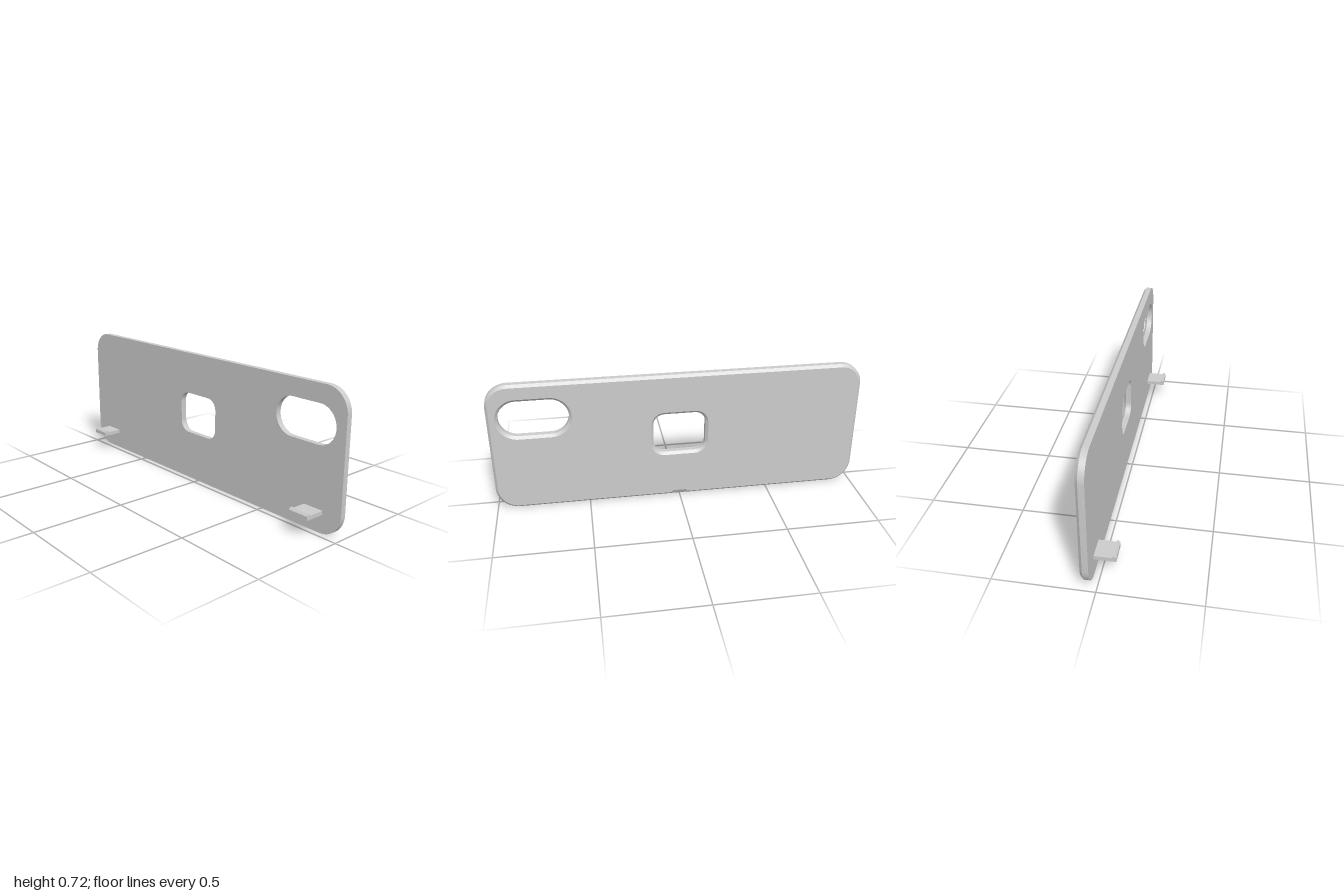
import * as THREE from 'three';
import { toCreasedNormals, mergeGeometries } from 'three/addons/utils/BufferGeometryUtils.js';

const FRONT = -0.031, MID = -0.061, BACK = -0.075, CHAMFER = 0.014;

// Counter-clockwise rounded rectangle, grown outwards by g; extra points follow the first corner
function roundedRect([x0, x1, y0, y1, r], g = 0, extra = []) {
  const pts = [], n = 14, R = r + g;
  const corners = [[x0 + r, y0 + r], [x1 - r, y0 + r], [x1 - r, y1 - r], [x0 + r, y1 - r]];
  corners.forEach(([cx, cy], k) => {
    for (let i = 0; i <= n; i++) {
      const a = Math.PI + (k + i / n) * Math.PI / 2;
      pts.push(new THREE.Vector2(cx + R * Math.cos(a), cy + R * Math.sin(a)));
    }
    if (k === 0) extra.forEach(([x, y]) => pts.push(new THREE.Vector2(x, y)));
  });
  return pts;
}

// Wall between matching contours at different depths
function wall(rings, depths, inward) {
  const pos = [];
  const put = (k, i) => pos.push(rings[k][i].x, rings[k][i].y, depths[k]);
  for (let k = 0; k < rings.length - 1; k++) {
    const n = rings[k].length;
    for (let s = 0; s < n; s++) {
      let i = s, j = (s + 1) % n;
      if (inward) [i, j] = [j, i];
      put(k, i); put(k + 1, i); put(k, j);
      put(k, j); put(k + 1, i); put(k + 1, j);
    }
  }
  const geo = new THREE.BufferGeometry();
  geo.setAttribute('position', new THREE.Float32BufferAttribute(pos, 3));
  return toCreasedNormals(geo, Math.PI / 6);
}

// Flat face with holes, facing front or back
function face(outer, holes, z, back) {
  const flip = pts => pts.map(p => new THREE.Vector2(back ? -p.x : p.x, p.y));
  const shape = new THREE.Shape(flip(outer));
  shape.holes = holes.map(h => new THREE.Path(flip(h)));
  const geo = new THREE.ShapeGeometry(shape).toNonIndexed();
  geo.deleteAttribute('uv');
  if (back) geo.rotateY(Math.PI);
  return geo.translate(0, 0, z);
}

export function createModel() {
  const group = new THREE.Group();
  const material = new THREE.MeshStandardMaterial({ color: 0xcccccc });

  // Plate with chamfered back edges and a small pry notch at bottom centre
  const outline = [-1, 1, 0, 0.724, 0.12];
  const openings = [
    [-0.143, 0.14, 0.271, 0.499, 0.06], // central window
    [0.58, 0.944, 0.432, 0.63, 0.0985], // slot
  ];
  const notchX = [-0.045, -0.035, 0.035, 0.045];
  const outer = roundedRect(outline, 0, notchX.map(x => [x, 0]));
  const outerBack = roundedRect(outline, -CHAMFER,
    notchX.map((x, i) => [x, i === 1 || i === 2 ? 0.026 : CHAMFER]));
  const holes = openings.map(o => roundedRect(o));
  const holesBack = openings.map(o => roundedRect(o, CHAMFER));
  const depths = [FRONT, MID, BACK];

  const plate = new THREE.Mesh(mergeGeometries([
    face(outer, holes, FRONT, false),
    face(outerBack, holesBack, BACK, true),
    wall([outer, outer, outerBack], depths, false),
    ...holes.map((h, i) => wall([h, h, holesBack[i]], depths, true)),
  ]), material);
  plate.name = 'plate';
  group.add(plate);

  // Two hooked clips on the front
  const profile = [[-0.031, 0.096], [0.076, 0.096], [0.076, 0.117], [0.066, 0.127],
    [0.058, 0.127], [0.058, 0.117], [-0.031, 0.117]];
  const clipShape = new THREE.Shape(profile.map(([z, y]) => new THREE.Vector2(-z, y)));
  const clipGeo = new THREE.ExtrudeGeometry(clipShape, { depth: 0.112, bevelEnabled: false });
  clipGeo.translate(0, 0, -0.056).rotateY(Math.PI / 2);
  for (const [name, x] of [['leftClip', 0.835], ['rightClip', -0.835]]) {
    const clip = new THREE.Mesh(clipGeo, material);
    clip.name = name;
    clip.position.x = x;
    group.add(clip);
  }
  return group;
}
